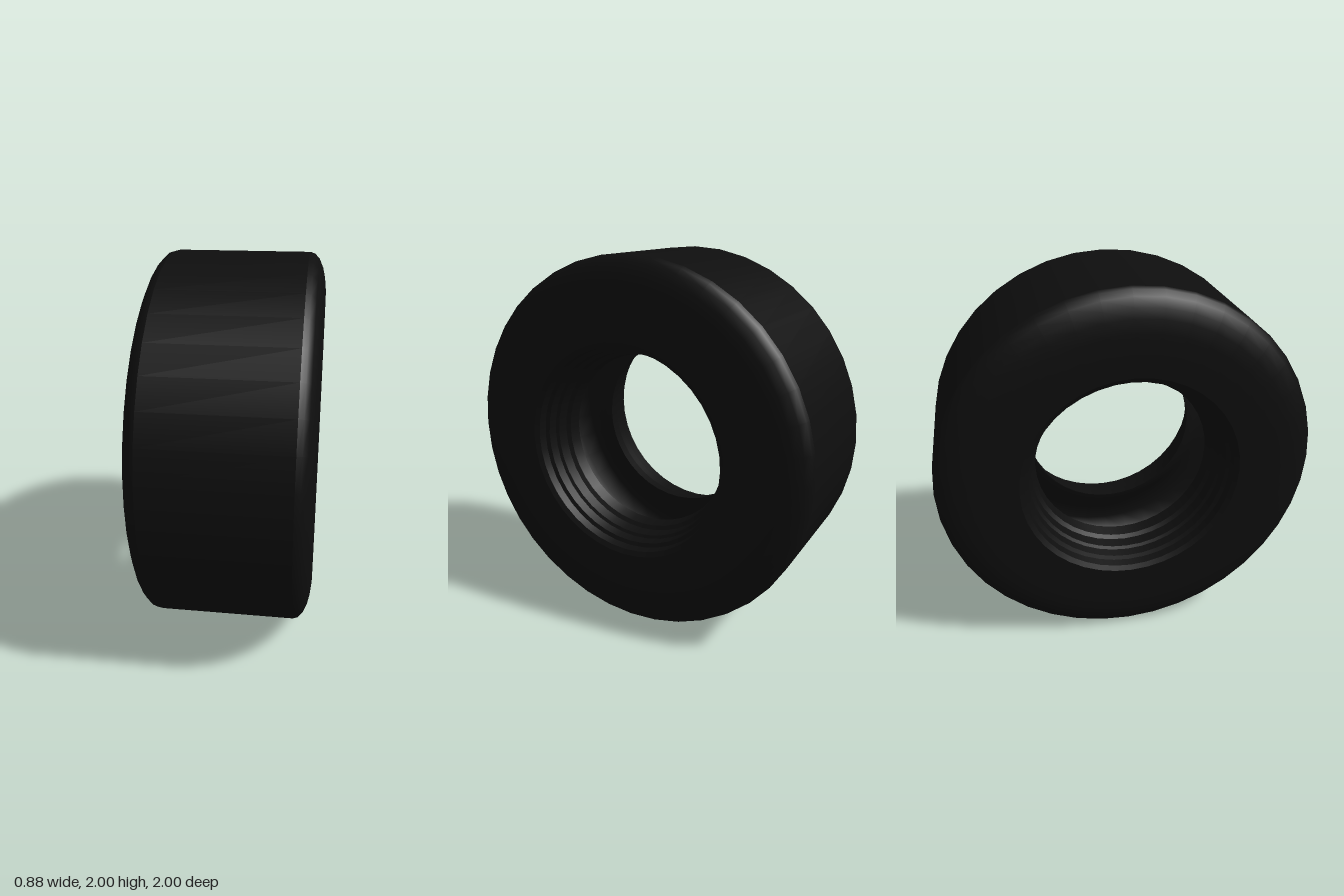
import * as THREE from 'three';

const SIDES = 40;

export function createModel() {
  const model = new THREE.Group();
  model.name = 'tyre';
  const rubber = new THREE.MeshStandardMaterial({ color: 0x0e0e0e });
  rubber.name = 'blackRubber';

  // Revolves a profile of [radius, x] points about the x axis.
  // Points running towards +x give a surface that faces outward.
  function revolve(name, profile) {
    const points = profile.map(([r, x]) => new THREE.Vector2(r, x));
    const geometry = new THREE.LatheGeometry(points, SIDES);
    geometry.rotateZ(-Math.PI / 2);
    const mesh = new THREE.Mesh(geometry, rubber);
    mesh.name = name;
    mesh.position.y = 1;
    model.add(mesh);
  }

  // Mirrors a profile across x = 0 and reverses it, keeping its facing.
  const mirrored = (profile) => profile.map(([r, x]) => [r, -x]).reverse();

  // Flat tread with rounded shoulders running into the sidewalls
  const tread = [[1, 0.35]];
  revolve('tread', [...mirrored(tread), ...tread]);
  const sidewall = [
    [1, 0.35], [0.992, 0.375], [0.965, 0.4], [0.92, 0.42],
    [0.87, 0.432], [0.8, 0.44], [0.7, 0.44], [0.58, 0.44],
  ];

  // Stepped funnel from the sidewall down to the bead
  const steps = [
    [0.58, 0.44], [0.555, 0.425], [0.55, 0.38], [0.53, 0.37], [0.525, 0.32],
    [0.51, 0.31], [0.505, 0.25], [0.485, 0.235], [0.475, 0.17],
  ];

  // Hollow inside, from the bead edge to the middle of the tread
  const lining = [
    [0.475, 0.17], [0.52, 0.18], [0.6, 0.28], [0.68, 0.34],
    [0.78, 0.36], [0.87, 0.32], [0.915, 0.23], [0.925, 0.1],
  ];

  revolve('leftSidewall', sidewall);
  revolve('rightSidewall', mirrored(sidewall));
  for (let i = 0; i < steps.length - 1; i++) {
    const ring = [steps[i], steps[i + 1]];
    revolve('leftBeadStep' + i, ring);
    revolve('rightBeadStep' + i, mirrored(ring));
  }
  revolve('innerLining', [...lining, ...mirrored(lining)]);

  return model;
}
